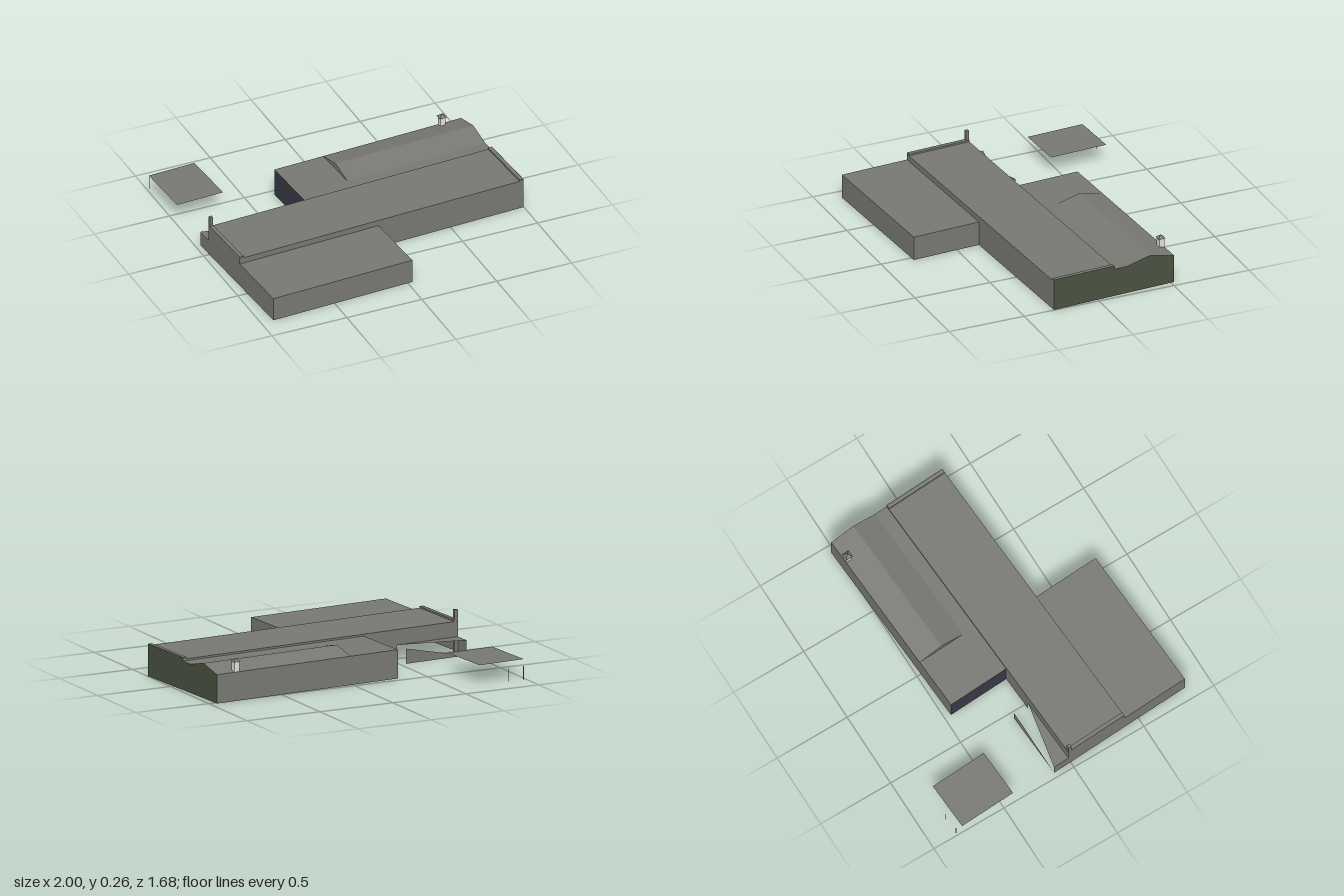
import * as THREE from 'three';

const flat = (name, color) =>
  new THREE.MeshStandardMaterial({ name, color, side: THREE.DoubleSide, flatShading: true });

export function createModel() {
  const grey = flat('roofGrey', 0x787873);
  const light = flat('paleConcrete', 0xe0e0e0);
  const green = flat('darkGreen', 0x4a5141);
  const navy = flat('darkNavy', 0x393946);

  const model = new THREE.Group();
  model.name = 'warehouse';
  model.rotation.y = 0.051; // the whole site sits slightly askew

  const add = (name, geometry, material) => {
    const mesh = new THREE.Mesh(geometry, material);
    mesh.name = name;
    model.add(mesh);
    return mesh;
  };
  // flat polygon as a triangle fan, corners counter-clockwise from outside
  const sheet = (name, material, ...p) => {
    const pos = [];
    for (let i = 1; i < p.length - 1; i++) pos.push(...p[0], ...p[i], ...p[i + 1]);
    const g = new THREE.BufferGeometry();
    g.setAttribute('position', new THREE.Float32BufferAttribute(pos, 3));
    g.computeVertexNormals();
    return add(name, g, material);
  };
  const wall = (name, m, x0, z0, x1, z1, y0, y1) =>
    sheet(name, m, [x0, y0, z0], [x1, y0, z1], [x1, y1, z1], [x0, y1, z0]);
  const roof = (name, m, x0, x1, z0, z1, y) =>
    sheet(name, m, [x0, y, z1], [x1, y, z1], [x1, y, z0], [x0, y, z0]);
  const box = (name, m, x, y, z, w, h, d) =>
    add(name, new THREE.BoxGeometry(w, h, d), m).position.set(x, y + h / 2, z);

  const W = -0.96, E = 0.98;                 // hall ends
  const S = 0.35, N = -0.064, B = -0.472;    // hall front, hall back, wing back
  const top = 0.192, rim = 0.203;

  // main hall, open underneath
  roof('hallRoof', grey, W, E, N, S, top);
  wall('hallWestWall', grey, W, N, W, S, 0, rim);
  wall('hallFrontWall', grey, -0.01, S, E, S, 0, top);
  wall('hallFrontUpperWall', grey, W, S, -0.01, S, 0.155, top);
  wall('hallBackUpperWall', grey, -0.296, N, W, N, 0.095, top);
  wall('hallBackLowerWall', grey, -0.296, N, -0.53, N, 0, 0.095);
  wall('hallBackStep', grey, E, N, -0.296, N, 0.18, top);
  for (const x of [W + 0.0135, E - 0.0135])
    box('parapet', grey, x, top, (S + N) / 2, 0.025, rim - top, S - N - 0.002);

  // front block
  const F = 0.795, fx = -0.01, fh = 0.155;
  roof('frontBlockRoof', grey, W, fx, S, F, fh);
  wall('frontBlockWestWall', grey, W, S, W, F, 0, fh);
  wall('frontBlockFrontWall', grey, W, F, fx, F, 0, fh);
  wall('frontBlockEastWall', grey, fx, F, fx, S, 0, fh);
  wall('frontPartition', light, fx, S, W, S, 0, fh);

  // low back block
  const bx = -0.296, wx = 0.037, eave = 0.18;
  roof('backBlockRoof', grey, bx, wx, B, N, eave);
  wall('backBlockWestWall', navy, bx, B, bx, N, 0, eave);
  wall('backWall', grey, E, B, bx, B, 0, eave);
  wall('backPartition', light, E, N, bx, N, 0, eave);

  // ridged back wing: roof profile as [z, y]
  const profile = [[N, eave], [-0.15, eave], [-0.31, 0.218], [B, eave]];
  for (let i = 0; i < 3; i++) {
    const [z0, y0] = profile[i], [z1, y1] = profile[i + 1];
    sheet('wingRoof', grey, [wx, y0, z0], [E, y0, z0], [E, y1, z1], [wx, y1, z1]);
  }
  sheet('wingWestGable', grey, ...profile.slice(1).reverse().map(([z, y]) => [wx, y, z]));

  // east wall with the hall step and the wing gable in one outline
  const outline = new THREE.Shape(
    [[-S, 0], [-B, 0], ...profile.slice().reverse().map(([z, y]) => [-z, y]), [-N, rim], [-S, rim]]
      .map(([x, y]) => new THREE.Vector2(x, y)));
  const east = new THREE.ShapeGeometry(outline);
  east.rotateY(Math.PI / 2).translate(E, 0, 0);
  add('eastWall', east, green);

  // half-open annex at the back of the hall
  const ax = -0.53, az = -0.17, ah = 0.095;
  wall('annexWestWall', grey, W, az, W, N, 0, ah);
  sheet('annexRoof', grey, [W, ah, az], [W, ah, N], [ax, ah, N]);
  sheet('annexBackWall', grey, [ax, 0, az], [W, 0, az], [ax, ah, az]);

  // corner mast
  box('mast', grey, -0.949, 0, -0.053, 0.022, 0.265, 0.02);

  // chimney with a pyramid cap
  box('chimney', light, 0.838, eave, -0.452, 0.036, 0.063, 0.034);
  const cap = new THREE.ConeGeometry(0.033, 0.02, 4).rotateY(Math.PI / 4);
  add('chimneyCap', cap, grey).position.set(0.838, 0.253, -0.452);

  // detached canopy and its slim posts
  roof('canopy', grey, W, -0.647, -0.85, -0.474, 0.118);
  for (const x of [-0.94, -0.832]) box('canopyPost', grey, x, 0, -0.882, 0.003, 0.085, 0.003);

  return model;
}
